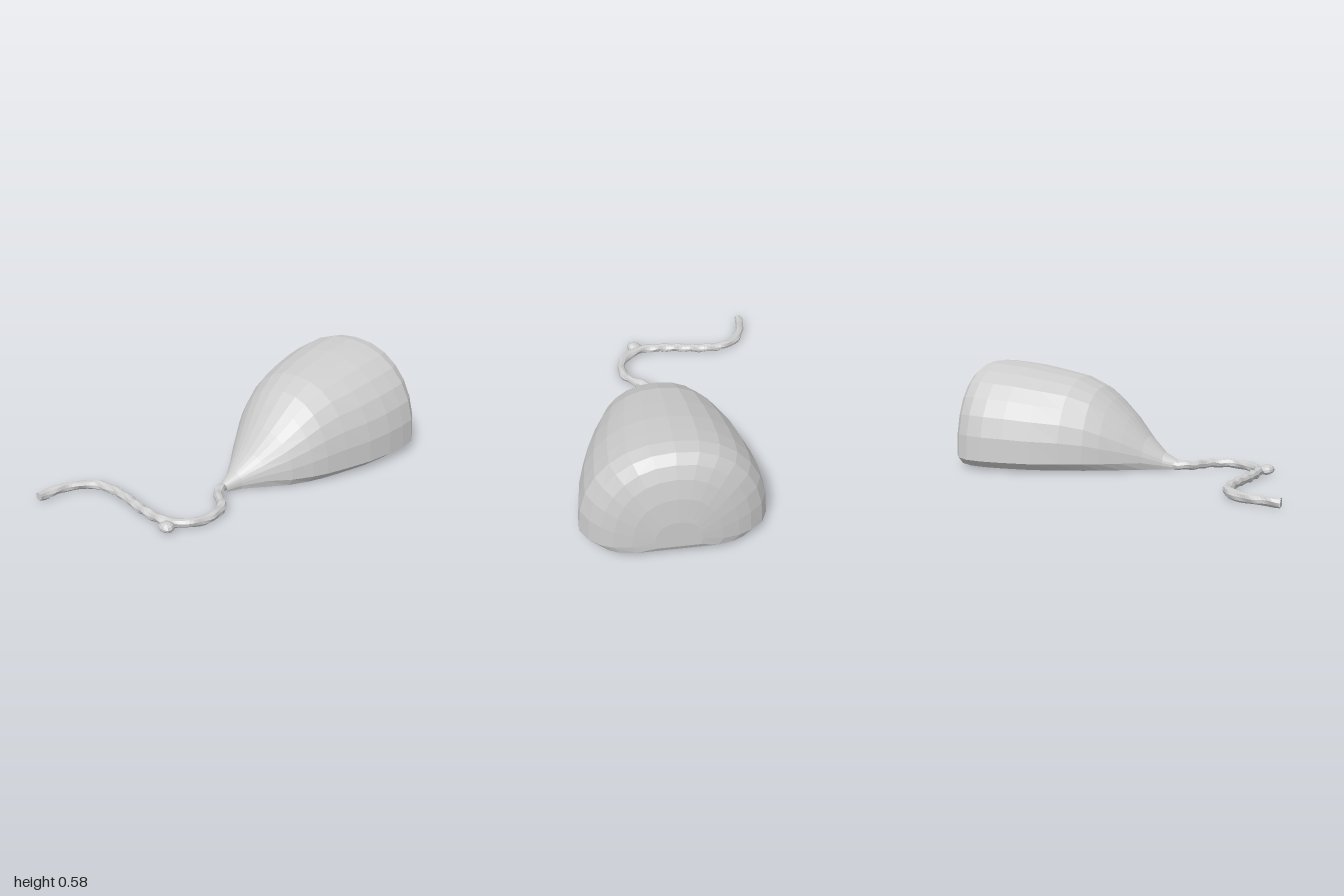
import * as THREE from 'three';

const material = new THREE.MeshStandardMaterial({ color: 0xcccccc, flatShading: true });

// Body stations from the neck to the back: z, left x, right x, base y, top y
const STATIONS = [
  [0.28, 0.07, 0.12, 0.010, 0.055],
  [0.20, 0.04, 0.16, 0.010, 0.095],
  [0.10, -0.02, 0.25, 0.010, 0.18],
  [0.00, -0.09, 0.345, 0.012, 0.29],
  [-0.10, -0.155, 0.41, 0.013, 0.385],
  [-0.18, -0.20, 0.45, 0.014, 0.45],
  [-0.30, -0.255, 0.495, 0.015, 0.505],
  [-0.45, -0.31, 0.545, 0.016, 0.535],
  [-0.60, -0.34, 0.575, 0.018, 0.562],
  [-0.72, -0.355, 0.585, 0.020, 0.575],
  [-0.81, -0.35, 0.585, 0.022, 0.582],
  [-0.88, -0.315, 0.545, 0.025, 0.572],
  [-0.93, -0.25, 0.49, 0.030, 0.538],
  [-0.96, -0.185, 0.43, 0.035, 0.475],
  [-0.985, -0.10, 0.34, 0.048, 0.375],
  [-1.00, 0.00, 0.23, 0.08, 0.24],
];
const ARCH_STEPS = 14;

// Arched outline with a flat base and a narrow bevel along each lower edge
function section([z, left, right, base, top]) {
  const cx = (left + right) / 2, hw = (right - left) / 2;
  const spring = base + Math.min(0.04, (top - base) * 0.25);
  const ring = [];
  for (let i = 0; i <= ARCH_STEPS; i++) {
    const a = (i / ARCH_STEPS) * Math.PI;
    const c = Math.cos(a), s = Math.max(0, Math.sin(a));
    ring.push([cx + hw * Math.sign(c) * Math.abs(c) ** 0.91, spring + (top - spring) * s ** 0.91, z]);
  }
  for (const f of [-0.9, 0, 0.9]) ring.push([cx + hw * f, base, z]);
  return ring;
}

function bodyGeometry() {
  const rings = STATIONS.map(section);
  const n = rings[0].length;
  const index = [];
  for (let k = 0; k < rings.length - 1; k++) {
    for (let i = 0; i < n; i++) {
      const j = (i + 1) % n;
      const a = k * n + i, b = k * n + j, c = a + n, d = b + n;
      index.push(a, c, b, b, c, d);
    }
  }
  // Close the back
  const vertices = rings.flat();
  const last = (rings.length - 1) * n;
  vertices.push([0.115, 0.15, -1]);
  for (let i = 0; i < n; i++) index.push(vertices.length - 1, last + ((i + 1) % n), last + i);
  const g = new THREE.BufferGeometry();
  g.setAttribute('position', new THREE.Float32BufferAttribute(vertices.flat(), 3));
  g.setIndex(index);
  g.computeVertexNormals();
  return g;
}

// Gentle uneven surface, driven by position so shared vertices stay together
function roughen(g, amount) {
  const p = g.attributes.position;
  for (let i = 0; i < p.count; i++) {
    const x = p.getX(i), y = p.getY(i), z = p.getZ(i);
    p.setXYZ(i,
      x + amount * Math.sin(53 * z + 90 * y),
      Math.max(0.004, y + amount * Math.sin(61 * x + 47 * z)),
      Math.min(1, z + amount * Math.sin(57 * x + 80 * y)));
  }
  g.computeVertexNormals();
  return g;
}

function add(group, name, geometry) {
  const mesh = new THREE.Mesh(geometry, material);
  mesh.name = name;
  group.add(mesh);
  return mesh;
}

export function createModel() {
  const group = new THREE.Group();
  group.name = 'teardropWithTail';

  add(group, 'body', bodyGeometry());

  // Winding tail lying on the ground
  const path = new THREE.CatmullRomCurve3([
    [0.095, 0.18], [0.09, 0.29], [0.13, 0.36], [0.2, 0.41], [0.245, 0.48], [0.25, 0.57],
    [0.225, 0.64], [0.175, 0.69], [0.12, 0.725], [0, 0.73], [-0.1, 0.72], [-0.2, 0.7],
    [-0.33, 0.69], [-0.43, 0.71], [-0.505, 0.775], [-0.55, 0.88], [-0.565, 1],
  ].map(([x, z]) => new THREE.Vector3(x, 0.032, z)));
  add(group, 'tail', roughen(new THREE.TubeGeometry(path, 90, 0.025, 9), 0.003));

  // Flat end of the tail
  const tip = add(group, 'tailEnd', new THREE.CircleGeometry(0.025, 9));
  tip.position.set(-0.565, 0.032, 0.998);

  // Small knot at the bend
  const knot = new THREE.SphereGeometry(1, 10, 7);
  knot.scale(0.047, 0.027, 0.042).translate(0.152, 0.032, 0.762);
  add(group, 'knot', roughen(knot, 0.003));

  return group;
}
